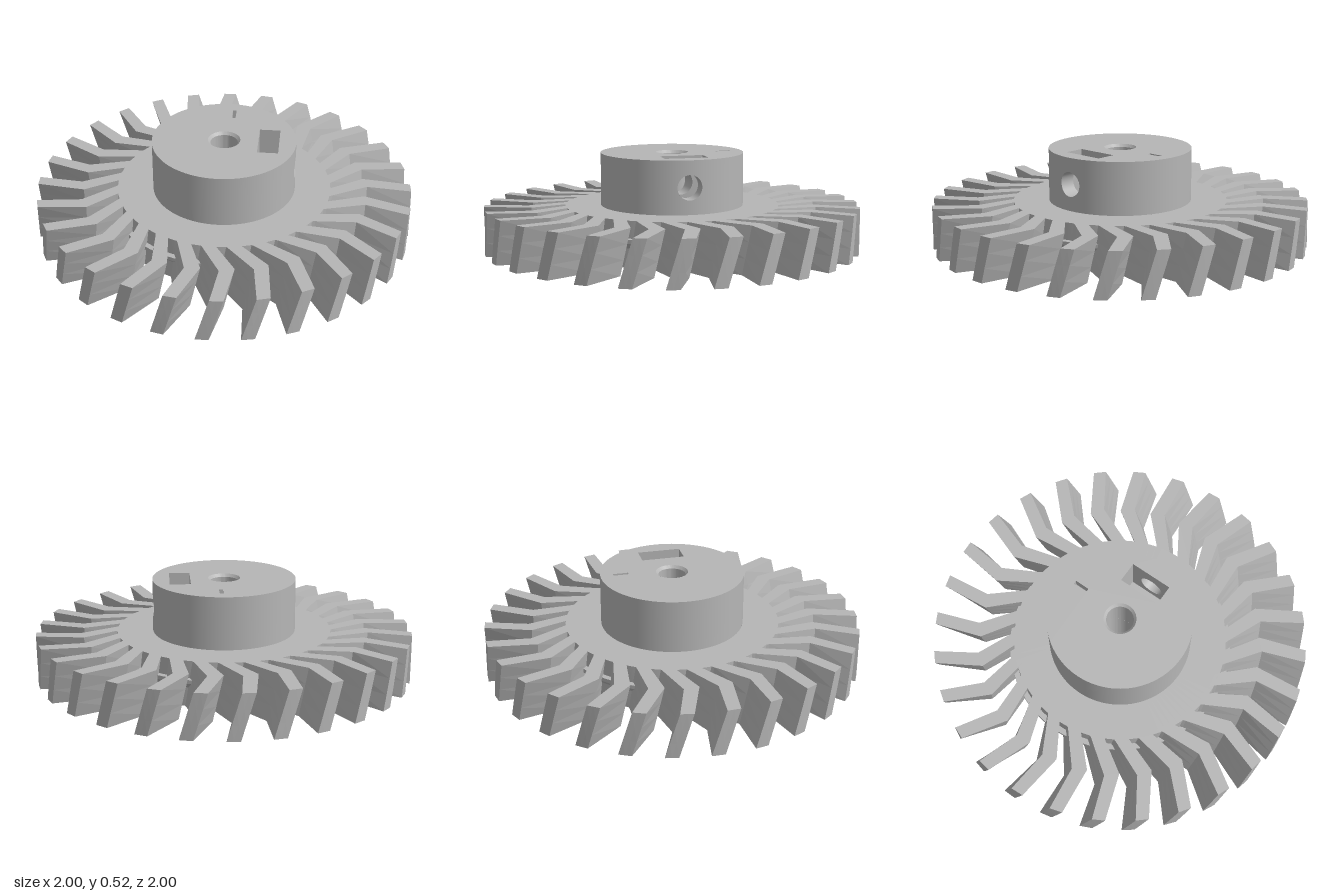
import * as THREE from 'three';
import { toCreasedNormals } from 'three/addons/utils/BufferGeometryUtils.js';
import { ParametricGeometry } from 'three/addons/geometries/ParametricGeometry.js';

const BLADES = 28, TWIST = 0.072;
const DISC_H = 0.24, HUB_R = 0.38, HUB_TOP = 0.52;
const HOLE_R = 0.065, HOLE_Y = 0.38;
const v2 = (x, y) => new THREE.Vector2(x, y);

function circlePath(x, y, r) {
  return new THREE.Path().absarc(x, y, r, 0, Math.PI * 2, true);
}

function rectPath([x0, x1, z0, z1]) {
  return new THREE.Path([v2(x0, -z0), v2(x1, -z0), v2(x1, -z1), v2(x0, -z1)]);
}

// Kinked blade outline, extruded upwards and twisted around the axle
function bladeGeometry() {
  const shape = new THREE.Shape([
    v2(0, -0.545), v2(-0.078, -0.545), v2(-0.055, -0.58), v2(0.045, -0.765),
    v2(0.022, -1), v2(0.056, -0.998), v2(0.09, -0.996),
    v2(0.121, -0.742), v2(0.022, -0.583),
  ]);
  const geo = new THREE.ExtrudeGeometry(shape, { depth: DISC_H, steps: 3, bevelEnabled: false });
  geo.rotateX(-Math.PI / 2);
  const pos = geo.attributes.position, p = new THREE.Vector3(), up = new THREE.Vector3(0, 1, 0);
  for (let i = 0; i < pos.count; i++) {
    p.fromBufferAttribute(pos, i);
    p.applyAxisAngle(up, -TWIST * (1 - p.y / DISC_H));
    pos.setXYZ(i, p.x, p.y, p.z);
  }
  geo.computeVertexNormals();
  return geo;
}

// Hub wall around the screw hole, wrapped onto the cylinder
function holePatch(halfAngle) {
  const halfH = (HUB_TOP - DISC_H) / 2;
  return new ParametricGeometry((u, v, out) => {
    const c = Math.cos(u * Math.PI * 2), s = Math.sin(u * Math.PI * 2);
    const m = Math.max(Math.abs(c), Math.abs(s));
    const phi = THREE.MathUtils.lerp(Math.asin(HOLE_R * c / HUB_R), halfAngle * c / m, v);
    const y = HOLE_Y + THREE.MathUtils.lerp(HOLE_R * s, halfH * s / m, v);
    out.set(HUB_R * Math.cos(phi), y, HUB_R * Math.sin(phi));
  }, 64, 4);
}

// Bore of the screw hole, its ends trimmed to the given x positions
function holeTube(startX, endX) {
  return new ParametricGeometry((u, v, out) => {
    const a = u * Math.PI * 2, z = HOLE_R * Math.cos(a);
    out.set(THREE.MathUtils.lerp(startX(z), endX(z), v), HOLE_Y + HOLE_R * Math.sin(a), z);
  }, 48, 1);
}

// Box without its lid
function openBox([x0, x1, z0, z1], floorY, keep) {
  const geo = new THREE.BoxGeometry(x1 - x0, HUB_TOP - floorY, z1 - z0);
  const index = Array.from(geo.index.array);
  geo.setIndex(keep.flatMap((f) => index.slice(f * 6, f * 6 + 6)));
  geo.translate((x0 + x1) / 2, (HUB_TOP + floorY) / 2, (z0 + z1) / 2);
  return geo;
}

export function createModel() {
  const model = new THREE.Group();
  const grey = new THREE.MeshStandardMaterial({ color: 0xb6b6b6, side: THREE.DoubleSide });
  grey.name = 'plain grey';
  const add = (name, geo, parent = model) => {
    const mesh = new THREE.Mesh(geo, grey);
    mesh.name = name;
    parent.add(mesh);
    return mesh;
  };

  // Disc with axle bore, recess underneath and a ridge around the rim
  const profile = [
    [0.085, HUB_TOP], [0.072, 0.505], [0.072, 0.08], [0.225, 0.08], [0.225, 0.015], [0.24, 0],
    [0.57, 0], [0.57, 0.1], [0.6, 0.13], [0.6, 0.15], [0.57, 0.15], [0.57, DISC_H], [HUB_R, DISC_H],
  ].map(([r, y]) => v2(r, y));
  add('disc', toCreasedNormals(new THREE.LatheGeometry(profile, 96), 0.4));

  // Blades
  const blades = new THREE.Group();
  blades.name = 'blades';
  model.add(blades);
  const blade = bladeGeometry();
  for (let i = 0; i < BLADES; i++) {
    add('blade', blade, blades).rotation.y = (i / BLADES) * Math.PI * 2;
  }

  // Hub wall with the screw hole on the +x side
  const hub = new THREE.Group();
  hub.name = 'hub';
  model.add(hub);
  const half = 0.25;
  const wall = new THREE.CylinderGeometry(HUB_R, HUB_R, HUB_TOP - DISC_H, 96, 1, true,
    Math.PI / 2 + half, Math.PI * 2 - 2 * half);
  wall.translate(0, (HUB_TOP + DISC_H) / 2, 0);
  add('hubWall', wall, hub);
  add('hubWallAroundHole', holePatch(half), hub);

  // Hub top with bore, nut pocket and marker slot cut out
  const pocket = [0.18, 0.29, -0.12, 0.11], slot = [0.02, 0.04, -0.31, -0.23];
  const top = new THREE.Shape().absarc(0, 0, HUB_R, 0, Math.PI * 2, false);
  top.holes.push(circlePath(0, 0, 0.085), rectPath(pocket), rectPath(slot));
  const topGeo = new THREE.ShapeGeometry(top, 96);
  topGeo.rotateX(-Math.PI / 2).translate(0, HUB_TOP, 0);
  add('hubTop', topGeo, hub);

  // Pocket and slot linings
  const floorY = 0.28;
  add('nutPocket', openBox(pocket, floorY, [3, 4, 5]), hub);
  add('markerSlot', openBox(slot, 0.47, [0, 1, 3, 4, 5]), hub);

  // Pocket walls pierced by the screw hole
  const [x0, x1, z0, z1] = pocket;
  const side = new THREE.Shape([v2(-z1, floorY), v2(-z0, floorY), v2(-z0, HUB_TOP), v2(-z1, HUB_TOP)]);
  side.holes.push(circlePath(0, HOLE_Y, HOLE_R));
  for (const x of [x0, x1]) {
    const geo = new THREE.ShapeGeometry(side, 48);
    geo.rotateY(Math.PI / 2).translate(x, 0, 0);
    add('pocketWall', geo, hub);
  }
  add('screwHoleOuter', holeTube(() => x1, (z) => Math.sqrt(HUB_R ** 2 - z * z)), hub);
  add('screwHoleInner', holeTube((z) => Math.sqrt(0.072 ** 2 - z * z), () => x0), hub);

  return model;
}
